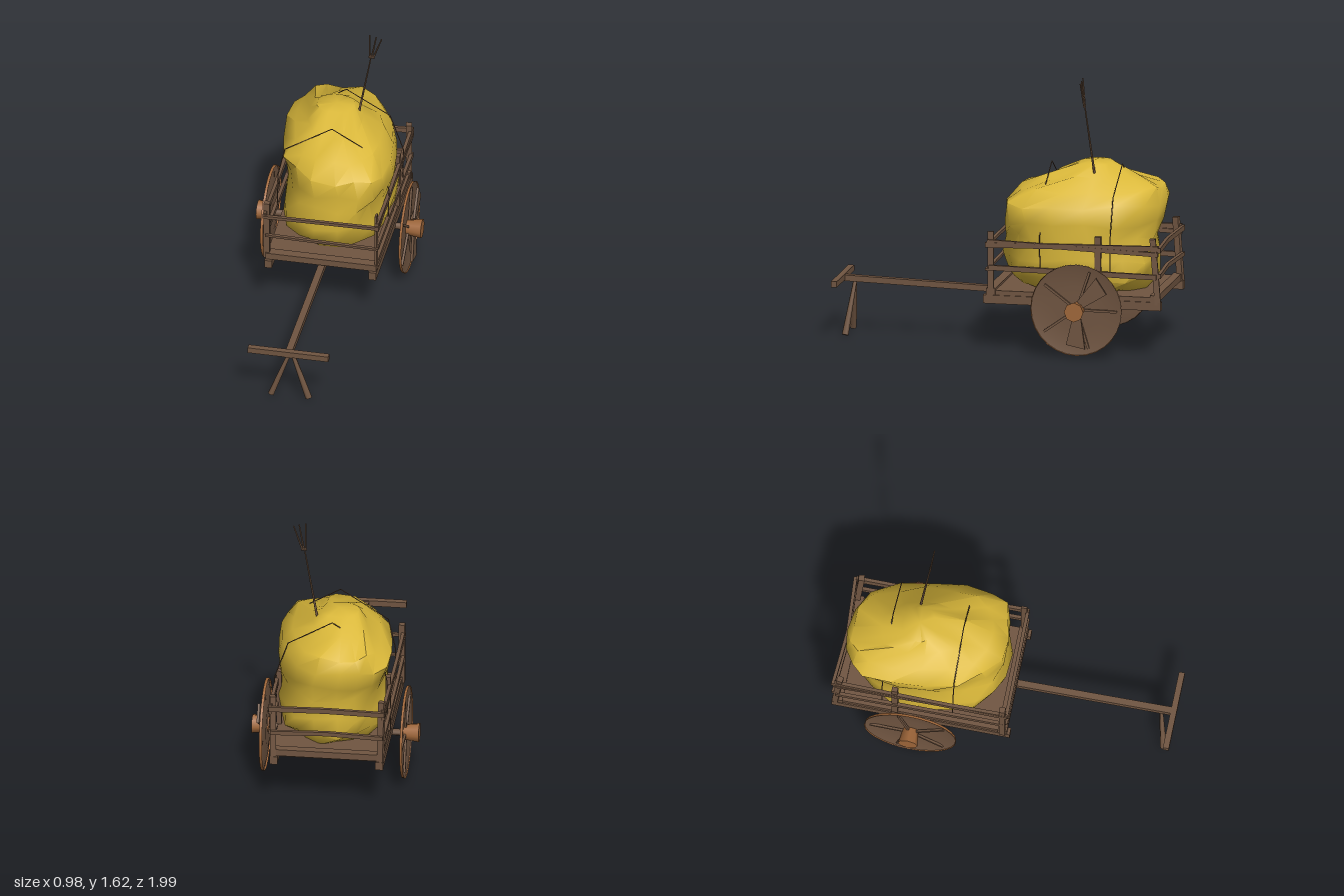
import * as THREE from 'three';
import { toCreasedNormals } from 'three/addons/utils/BufferGeometryUtils.js';

const mat = (name, color, side = THREE.FrontSide) => {
  const m = new THREE.MeshStandardMaterial({ color, side });
  m.name = name;
  return m;
};

export function createModel() {
  const model = new THREE.Group();
  model.name = 'hayCart';
  const wood = mat('wood', 0x705541, THREE.DoubleSide);
  const hubWood = mat('hubWood', 0xa0673a, THREE.DoubleSide);
  const straw = mat('straw', 0xdab83a);

  const add = (name, geo, material, x = 0, y = 0, z = 0, parent = model) => {
    const mesh = new THREE.Mesh(geo, material);
    mesh.name = name;
    mesh.position.set(x, y, z);
    parent.add(mesh);
    return mesh;
  };
  const box = (name, w, h, d, x, y, z) => add(name, new THREE.BoxGeometry(w, h, d), wood, x, y, z);
  // Square beam between two points
  const beam = (name, a, b, w, h = w) => {
    const p = new THREE.Vector3(...a), q = new THREE.Vector3(...b);
    const mesh = box(name, w, h, p.distanceTo(q), 0, 0, 0);
    mesh.position.copy(p).lerp(q, 0.5);
    mesh.lookAt(q);
  };
  // Tapered round pole between two points
  const pole = (name, a, b, ra, rb, sides = 7) => {
    const p = new THREE.Vector3(...a), q = new THREE.Vector3(...b);
    const mesh = add(name, new THREE.CylinderGeometry(rb, ra, p.distanceTo(q), sides), wood);
    mesh.position.copy(p).lerp(q, 0.5);
    mesh.quaternion.setFromUnitVectors(new THREE.Vector3(0, 1, 0), q.sub(p).normalize());
  };

  // Bed and frame
  box('bed', 0.65, 0.035, 1.0, 0, 0.345, -0.47);
  box('frontBeam', 0.66, 0.04, 0.055, 0, 0.355, 0.02);
  box('backBeam', 0.66, 0.04, 0.05, 0, 0.355, -0.955);
  for (const s of [-1, 1]) {
    box('sill', 0.045, 0.05, 1.06, s * 0.31, 0.31, -0.465);
    // Fence posts and side rails
    box('frontPost', s < 0 ? 0.035 : 0.012, 0.38, 0.035, s * 0.325, 0.525, 0.02);
    box('middlePost', 0.03, 0.35, 0.035, s * 0.32, 0.535, -0.62);
    beam('backPost', [s * 0.315, 0.32, -0.975], [s * 0.32, 0.71, -0.945], 0.035);
    beam('topSideRail', [s * 0.335, 0.635, 0.05], [s * 0.33, 0.655, -0.98], 0.02, 0.03);
    beam('crossedSideRail', [s * 0.333, 0.655, 0.04], [s * 0.333, 0.62, -0.98], 0.02, 0.025);
    beam('lowerSideRail', [s * 0.333, 0.5, 0.03], [s * 0.333, 0.485, -0.97], 0.02, 0.03);
    // Back rails sag inwards at the middle
    beam('topBackRail', [s * 0.34, 0.645, -0.985], [0, 0.64, -0.963], 0.02, 0.03);
    beam('lowerBackRail', [s * 0.33, 0.49, -0.985], [0, 0.49, -0.963], 0.02, 0.025);
  }
  beam('topFrontRail', [-0.34, 0.63, 0.045], [0.34, 0.635, 0.04], 0.02, 0.018);
  beam('lowerFrontRail', [-0.33, 0.5, 0.042], [0.34, 0.488, 0.04], 0.02, 0.014);

  // Drawbar, handle and prop legs
  beam('drawbar', [0, 0.3, -0.05], [0, 0.33, 0.99], 0.04, 0.035);
  box('handle', 0.48, 0.035, 0.035, 0, 0.335, 0.975);
  for (const s of [-1, 1]) pole('propLeg', [s * 0.112, 0.01, 0.935], [0, 0.31, 0.9], 0.02, 0.011, 6);

  // Axle and thin dished wheels
  pole('axle', [-0.42, 0.283, -0.51], [0.42, 0.288, -0.51], 0.02, 0.02);
  const dish = [[0, -0.01], [0.13, -0.014], [0.22, -0.006], [0.27, 0.004]].map(p => new THREE.Vector2(...p));
  for (const s of [-1, 1]) {
    const wheel = new THREE.Group();
    wheel.name = s > 0 ? 'leftWheel' : 'rightWheel';
    wheel.position.set(s * 0.41, 0.288, -0.51);
    wheel.rotation.z = -s * Math.PI / 2;
    model.add(wheel);
    add('wheelDisc', new THREE.LatheGeometry(dish, 28), wood, 0, 0, 0, wheel);
    add('rimBand', new THREE.CylinderGeometry(0.273, 0.27, 0.016, 28, 1, true), hubWood, 0, 0.002, 0, wheel);
    add('hub', new THREE.CylinderGeometry(0.058, 0.045, 0.1, 8), hubWood, 0, 0.03, 0, wheel);
    for (let i = 0; i < 5; i++) {
      const spoke = new THREE.Group();
      spoke.name = 'spoke';
      spoke.rotation.y = i * Math.PI * 2 / 5 + 0.3;
      wheel.add(spoke);
      add('spokeBar', new THREE.BoxGeometry(0.2, 0.014, 0.014), wood, 0.14, 0, 0, spoke);
    }
    // Broad patch boards
    if (s > 0) for (const a of [0.85, -1.5]) {
      const shape = new THREE.Shape([[0.04, -0.02], [0.2, -0.07], [0.23, 0.04], [0.05, 0.03]].map(p => new THREE.Vector2(...p)));
      const board = add('wheelBoard', new THREE.ExtrudeGeometry(shape, { depth: 0.015, bevelEnabled: false }), wood, 0.43, 0.288, -0.51);
      board.rotation.y = Math.PI / 2;
      board.rotateZ(a);
    }
  }

  // Hay: rings of [y, xMin, xMax, zMin, zMax, skew] joined in a lumpy skin
  const rings = [
    [0.315, -0.1, 0.13, -0.65, -0.36, 0], [0.36, -0.23, 0.25, -0.84, -0.12, 0], [0.44, -0.31, 0.33, -0.91, -0.03, 0.01],
    [0.55, -0.31, 0.345, -0.92, 0.0, 0.02], [0.67, -0.29, 0.325, -0.9, -0.02, 0.07], [0.76, -0.315, 0.355, -0.93, -0.02, 0.13],
    [0.87, -0.345, 0.34, -0.95, -0.02, 0.16], [0.95, -0.28, 0.26, -0.92, -0.11, 0.13], [1.01, -0.19, 0.14, -0.75, -0.27, 0.06],
    [1.085, -0.14, 0.08, -0.63, -0.44, 0],
  ];
  const n = 18, verts = [], index = [];
  rings.forEach(([y, x0, x1, z0, z1, skew], r) => {
    for (let i = 0; i < n; i++) {
      const a = i / n * Math.PI * 2, c = Math.cos(a), s = Math.sin(a);
      const bump = 1 + 0.04 * Math.sin(i * 2.3 + r * 1.7) * Math.abs(Math.sin(2 * a));
      const sq = v => Math.sign(v) * Math.abs(v) ** 0.88 * bump;
      const dy = r > 0 && r < 9 ? 0.016 * Math.sin(i * 1.9 + r * 2.6) : 0;
      const z = (z0 + z1) / 2 + (z1 - z0) / 2 * sq(s) + skew * c * Math.abs(c);
      verts.push((x0 + x1) / 2 + (x1 - x0) / 2 * sq(c), y + dy, z);
      if (r < rings.length - 1) {
        const p = r * n + i, q = r * n + (i + 1) % n;
        index.push(p, p + n, q, q, p + n, q + n);
      }
    }
  });
  const bottom = rings.length * n, top = bottom + 1, last = bottom - n;
  verts.push(0.01, 0.313, -0.5, -0.02, 1.097, -0.53);
  for (let i = 0; i < n; i++) {
    const j = (i + 1) % n;
    index.push(bottom, i, j, top, last + j, last + i);
  }
  const hay = new THREE.BufferGeometry();
  hay.setAttribute('position', new THREE.Float32BufferAttribute(verts, 3));
  hay.setIndex(index);
  add('hay', toCreasedNormals(hay, 0.9), straw);

  // Thin ropes over the hay
  const path = [[-0.325, 0.5], [-0.32, 0.72], [-0.28, 0.9], [0, 1.08], [0.26, 0.93], [0.34, 0.7], [0.335, 0.5]];
  for (const z of [-0.275, -0.695]) for (let i = 0; i < path.length - 1; i++) {
    pole('rope', [...path[i], z], [...path[i + 1], z], 0.003, 0.003, 4);
  }

  // Pitchfork stuck in the hay
  pole('forkHandle', [0.085, 0.93, -0.562], [0.185, 1.46, -0.51], 0.008, 0.004, 6);
  pole('forkSocket', [0.17, 1.455, -0.51], [0.205, 1.455, -0.51], 0.006, 0.006, 6);
  for (const [x0, x1, y] of [[0.178, 0.179, 1.62], [0.188, 0.218, 1.61], [0.198, 0.25, 1.6]]) {
    pole('forkTine', [x0, 1.455, -0.51], [x1, y, -0.498], 0.006, 0.004, 5);
  }
  return model;
}
